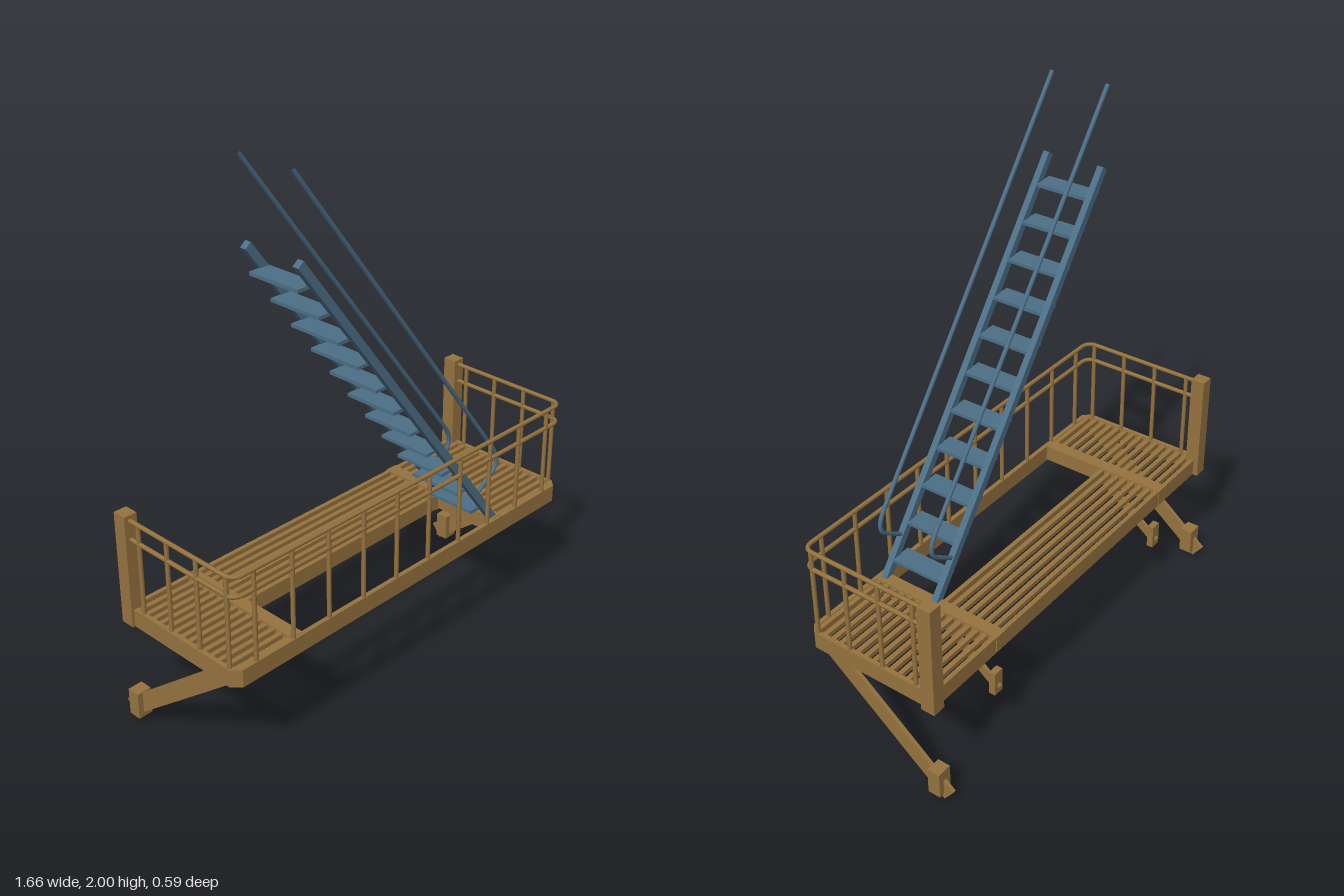
import * as THREE from 'three';

const wood = new THREE.MeshStandardMaterial({ color: 0x96733f });
const steel = new THREE.MeshStandardMaterial({ color: 0x4d6f87 });

export function createModel() {
  const model = new THREE.Group();
  const group = (name) => {
    const g = new THREE.Group();
    g.name = name;
    model.add(g);
    return g;
  };
  const add = (parent, name, geo, mat) => {
    const m = new THREE.Mesh(geo, mat);
    m.name = name;
    parent.add(m);
    return m;
  };
  // Box given by its minimum and maximum on each axis
  const box = (parent, name, mat, [x0, x1], [y0, y1], [z0, z1]) => {
    const m = add(parent, name, new THREE.BoxGeometry(x1 - x0, y1 - y0, z1 - z0), mat);
    m.position.set((x0 + x1) / 2, (y0 + y1) / 2, (z0 + z1) / 2);
    return m;
  };
  const polygon = (pts) => new THREE.Shape(pts.map(([a, b]) => new THREE.Vector2(a, b)));
  const extrude = (shape, depth) => new THREE.ExtrudeGeometry(shape, { depth, bevelEnabled: false });

  // Platform rim with clipped front corners
  const outline = (x0, x1, z0, z1, c) =>
    [[x0, z0], [x1, z0], [x1, z1 - c], [x1 - c, z1], [x0 + c, z1], [x0, z1 - c]];
  const platform = group('platform');
  const rim = polygon(outline(-0.823, 0.812, -0.24, 0.29, 0.03));
  rim.holes.push(polygon(outline(-0.806, 0.795, -0.223, 0.273, 0.025)));
  add(platform, 'rim', extrude(rim, 0.065).rotateX(Math.PI / 2).translate(0, 0.465, 0), wood);

  // Cross beams and the beam along the stair opening
  for (const x of [-0.55, 0.458])
    box(platform, 'crossBeam', wood, [x - 0.024, x + 0.024], [0.405, 0.467], [-0.243, 0.28]);
  box(platform, 'openingBeam', wood, [-0.53, 0.44], [0.405, 0.465], [0.003, 0.02]);

  // Floor slats; the middle bay stops at the opening
  for (let i = 1; i < 15; i++) {
    const z = -0.233 + i * 0.0355;
    const zs = [z - 0.009, z + 0.009], ys = [0.445, 0.462];
    box(platform, 'slat', wood, [-0.81, -0.57], ys, zs);
    box(platform, 'slat', wood, [0.478, 0.8], ys, zs);
    if (i < 7) box(platform, 'slat', wood, [-0.53, 0.44], ys, zs);
  }

  // Corner posts
  const railing = group('railing');
  for (const x of [-0.808, 0.803])
    box(railing, 'post', wood, [x - 0.025, x + 0.025], [0.4, 0.82], [-0.259, -0.206]);

  // Horizontal rails wrapping three sides with rounded corners
  const xl = -0.811, xr = 0.803, zf = 0.281, r = 0.035;
  const v = (x, y, z) => new THREE.Vector3(x, y, z);
  for (const y of [0.8, 0.73]) {
    const pts = [v(xl, y, -0.22)];
    for (let i = 0; i <= 6; i++) {
      const a = (i / 6) * Math.PI / 2;
      pts.push(v(xl + r - r * Math.cos(a), y, zf - r + r * Math.sin(a)));
    }
    for (let i = 0; i <= 6; i++) {
      const a = (i / 6) * Math.PI / 2;
      pts.push(v(xr - r + r * Math.sin(a), y, zf - r + r * Math.cos(a)));
    }
    pts.push(v(xr, y, -0.22));
    const path = new THREE.CurvePath();
    for (let i = 1; i < pts.length; i++) path.add(new THREE.LineCurve3(pts[i - 1], pts[i]));
    add(railing, 'rail', new THREE.TubeGeometry(path, 240, 0.008, 8), wood);
  }

  // Balusters
  const baluster = (x, z) => {
    const m = add(railing, 'baluster', new THREE.CylinderGeometry(0.008, 0.008, 0.345, 8), wood);
    m.position.set(x, 0.63, z);
  };
  for (let i = 0; i < 10; i++) baluster(-0.728 + i * 0.161, zf);
  for (const x of [xl, xr]) for (let i = 0; i < 4; i++) baluster(x, 0.25 - i * 0.139);

  // Sloping braces and their wall blocks
  const supports = group('supports');
  const brace = (name, x, pts) =>
    add(supports, name, extrude(polygon(pts), 0.014).rotateY(-Math.PI / 2).translate(x + 0.007, 0, 0), wood);
  for (const x of [-0.807, 0.788]) {
    brace('outerBrace', x, [[0.26, 0.41], [-0.258, 0], [-0.296, 0.05], [0.155, 0.41]]);
    box(supports, 'outerWallBlock', wood, [x - 0.028, x + 0.028], [0.022, 0.123], [-0.257, -0.208]);
  }
  for (const x of [-0.54, 0.459]) {
    brace('innerBrace', x, [[0.035, 0.41], [-0.222, 0.21], [-0.24, 0.236], [-0.02, 0.41]]);
    box(supports, 'innerWallBlock', wood, [x - 0.021, x + 0.021], [0.202, 0.295], [-0.231, -0.206]);
  }

  // Stair stringers, treads and handrails
  const stairs = group('stairs');
  const side = polygon([[0.43, 0.465], [0.467, 0.465], [-0.485, 1.718], [-0.507, 1.7]]);
  for (const z of [0.036, 0.258]) {
    add(stairs, 'stringer', extrude(side, 0.024).translate(0, 0, z - 0.012), steel);
    const rail = new THREE.CurvePath();
    rail.add(new THREE.LineCurve3(v(-0.515, 1.995, z), v(0.435, 0.757, z)));
    rail.add(new THREE.CubicBezierCurve3(
      v(0.435, 0.757, z), v(0.473, 0.708, z), v(0.477, 0.672, z), v(0.44, 0.645, z)));
    rail.add(new THREE.LineCurve3(v(0.44, 0.645, z), v(0.35, 0.585, z)));
    add(stairs, 'handrail', new THREE.TubeGeometry(rail, 160, 0.008, 8), steel);
  }
  for (let i = 0; i < 11; i++) {
    const x = -0.493 + i * 0.0836, y = 1.62 - i * 0.11;
    box(stairs, 'tread', steel, [x, x + 0.08], [y - 0.006, y + 0.006], [0.044, 0.25]);
  }
  return model;
}
